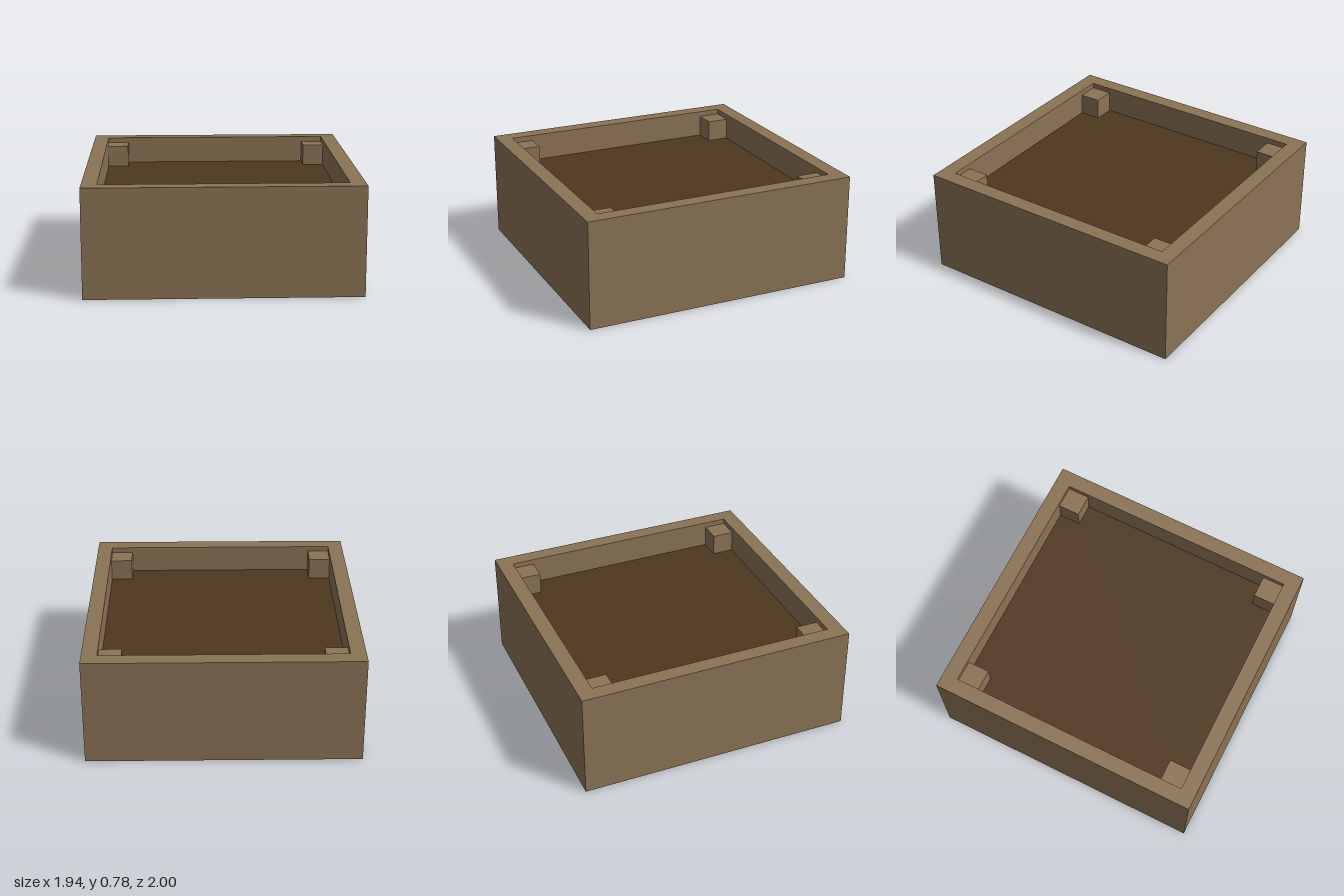
import * as THREE from 'three';

const H = 0.78, SOIL_Y = 0.58;        // rim and soil heights
const OUT = [0.97, 1.0], INN = [0.86, 0.888]; // half sizes in x and z
const POST = 0.16;

// Joins a stack of rectangular rings [halfX, halfZ, y] into flat quads
function loftRects(rings) {
  const corner = ([x, z, y], i) => {
    const [sx, sz] = [[-1, 1], [1, 1], [1, -1], [-1, -1]][i % 4];
    return [sx * x, y, sz * z];
  };
  const pos = [];
  for (let r = 0; r < rings.length - 1; r++) {
    for (let i = 0; i < 4; i++) {
      const a = corner(rings[r], i), b = corner(rings[r], i + 1);
      const c = corner(rings[r + 1], i + 1), d = corner(rings[r + 1], i);
      pos.push(...a, ...b, ...c, ...a, ...c, ...d);
    }
  }
  const geo = new THREE.BufferGeometry();
  geo.setAttribute('position', new THREE.Float32BufferAttribute(pos, 3));
  geo.computeVertexNormals();
  return geo;
}

export function createModel() {
  const group = new THREE.Group();
  const wood = new THREE.MeshStandardMaterial({ color: 0x8b7355, side: THREE.DoubleSide });
  const earth = new THREE.MeshStandardMaterial({ color: 0x4e371e, side: THREE.DoubleSide });

  const add = (name, geo, mat, x = 0, y = 0, z = 0) => {
    const mesh = new THREE.Mesh(geo, mat);
    mesh.name = name;
    mesh.position.set(x, y, z);
    group.add(mesh);
    return mesh;
  };

  // Hollow planter walls: outside, top rim, then inside down to the soil
  add('planterWalls', loftRects([[...OUT, 0], [...OUT, H], [...INN, H], [...INN, SOIL_Y]]), wood);

  // Soil sheet, open underneath
  const soil = new THREE.PlaneGeometry(INN[0] * 2, INN[1] * 2).rotateX(-Math.PI / 2);
  add('soil', soil, earth, 0, SOIL_Y, 0);

  // Posts in the four inner corners
  const postGeo = new THREE.BoxGeometry(POST, POST, POST);
  for (const sx of [-1, 1]) {
    for (const sz of [-1, 1]) {
      add(`${sz > 0 ? 'front' : 'back'}${sx > 0 ? 'Left' : 'Right'}Post`, postGeo, wood,
        sx * (INN[0] - POST / 2), SOIL_Y + POST / 2, sz * (INN[1] - POST / 2));
    }
  }
  return group;
}
